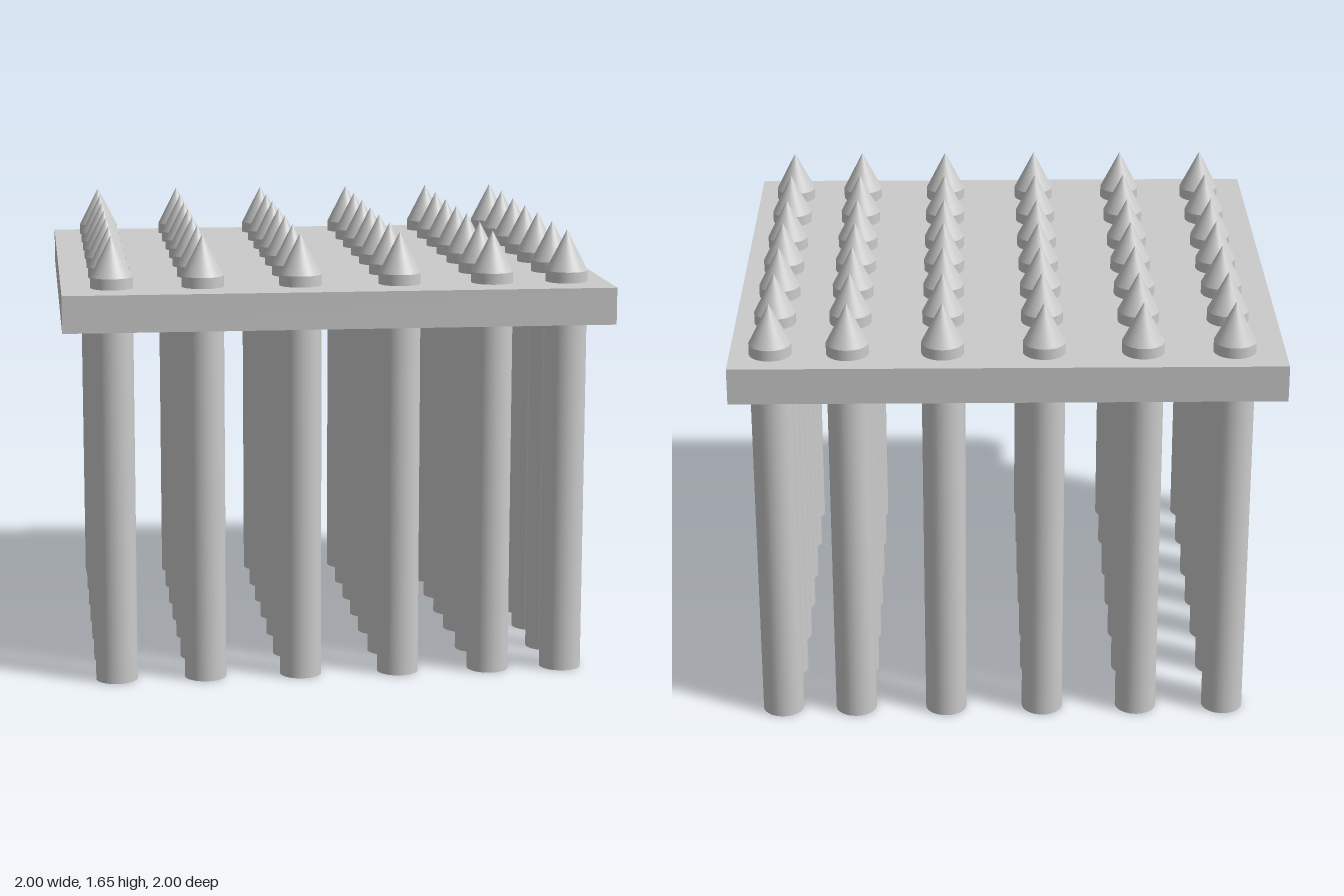
import * as THREE from 'three';

export function createModel() {
  const model = new THREE.Group();
  const grey = new THREE.MeshStandardMaterial({ color: 0xcccccc });

  const slabBottom = 1.33, slabTop = 1.465;
  const shoulder = 1.505, tip = 1.655, radius = 0.077;

  const addPart = (parent, name, geometry, x, y, z) => {
    const mesh = new THREE.Mesh(geometry, grey);
    mesh.name = name;
    mesh.position.set(x, y, z);
    parent.add(mesh);
  };

  // Square deck pierced by the posts
  const slabHeight = slabTop - slabBottom;
  addPart(model, 'deck', new THREE.BoxGeometry(2, slabHeight, 2), 0, slabBottom + slabHeight / 2, 0);

  // Unevenly spaced rows of round posts with pointed tips
  const columns = [-0.817, -0.487, -0.131, 0.234, 0.576, 0.853];
  const rows = [-0.853, -0.559, -0.289, -0.027, 0.23, 0.521, 0.8];
  const shaft = new THREE.CylinderGeometry(radius, radius, shoulder, 32);
  const point = new THREE.ConeGeometry(radius, tip - shoulder, 32, 1, true);

  for (const x of columns) {
    for (const z of rows) {
      const post = new THREE.Group();
      post.name = 'post';
      post.position.set(x, 0, z);
      addPart(post, 'postShaft', shaft, 0, shoulder / 2, 0);
      addPart(post, 'postTip', point, 0, (shoulder + tip) / 2, 0);
      model.add(post);
    }
  }
  return model;
}
